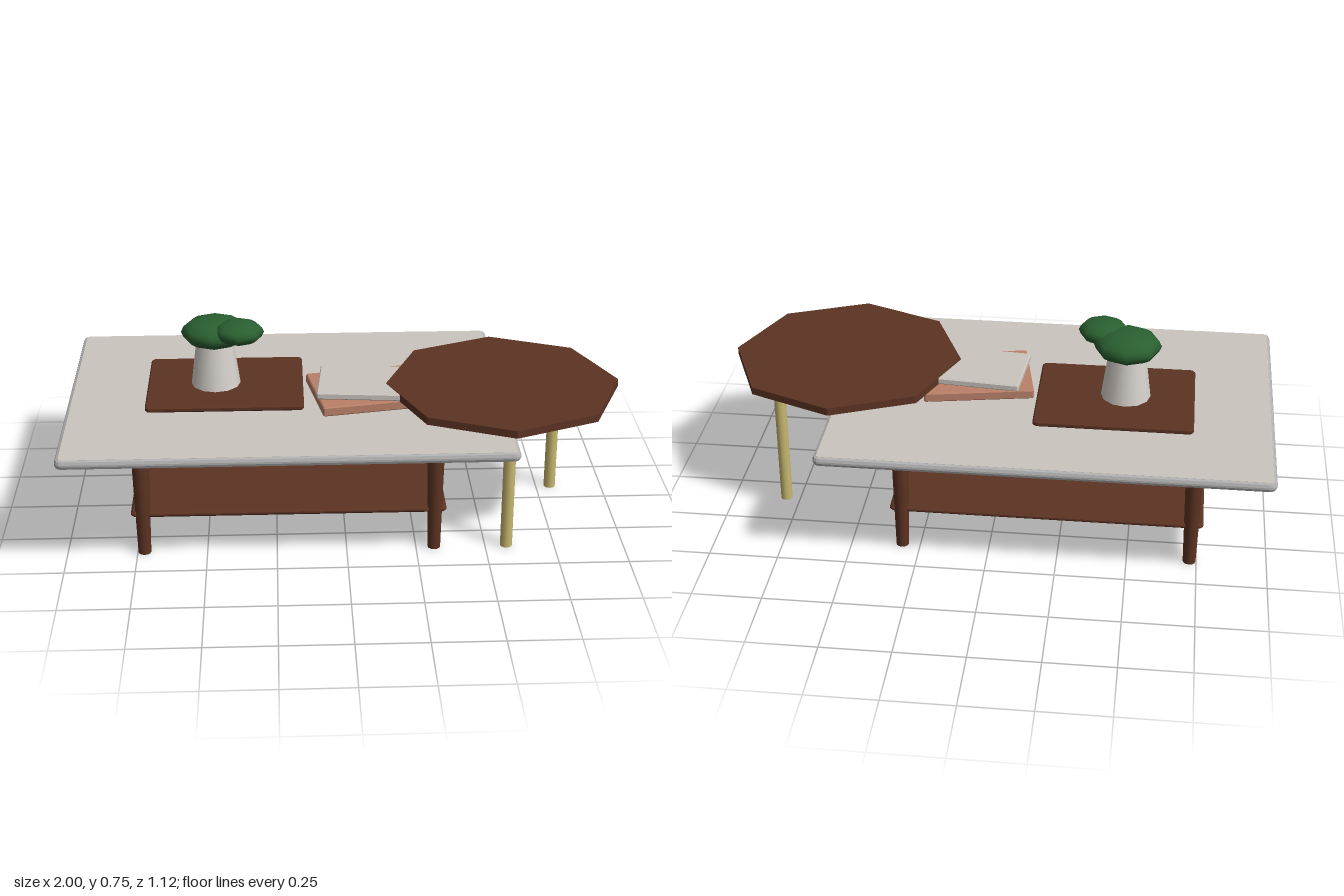
import * as THREE from 'three';

const paint = (name, color) => {
  const m = new THREE.MeshStandardMaterial({ color });
  m.name = name;
  return m;
};

export function createModel() {
  const group = new THREE.Group();
  const wood = paint('walnut', 0x5c3322);
  const stone = paint('warm stone', 0xcac5be);
  const rim = paint('grey rim', 0xb0b0b0);
  const brass = paint('brass', 0xc8b870);
  const ceramic = paint('ceramic', 0xd6d1cb);
  const leaf = paint('leaf green', 0x2a5f30);
  const clay = paint('clay cover', 0xba8069);

  const add = (name, geometry, material, x, y, z, turn = 0) => {
    const mesh = new THREE.Mesh(geometry, material);
    mesh.name = name;
    mesh.position.set(x, y, z);
    mesh.rotation.y = turn;
    group.add(mesh);
    return mesh;
  };

  // Rounded, bevelled board of outer size w x h x d standing on y = 0
  const board = (w, h, d, radius, bevel, segments = 1) => {
    const a = w / 2 - bevel, b = d / 2 - bevel, r = radius;
    const s = new THREE.Shape();
    s.moveTo(-a + r, -b);
    s.lineTo(a - r, -b);
    s.quadraticCurveTo(a, -b, a, -b + r);
    s.lineTo(a, b - r);
    s.quadraticCurveTo(a, b, a - r, b);
    s.lineTo(-a + r, b);
    s.quadraticCurveTo(-a, b, -a, b - r);
    s.lineTo(-a, -b + r);
    s.quadraticCurveTo(-a, -b, -a + r, -b);
    return new THREE.ExtrudeGeometry(s, {
      depth: h - 2 * bevel, bevelEnabled: true, bevelThickness: bevel,
      bevelSize: bevel, bevelSegments: segments, curveSegments: 4,
    }).rotateX(-Math.PI / 2).translate(0, bevel, 0);
  };

  // Main table: slab with a pale surface and a brass underlay
  const cx = -0.205;
  add('tabletopRim', board(1.59, 0.035, 1.12, 0.015, 0.014, 2), rim, cx, 0.43, 0);
  add('tabletopSurface', board(1.565, 0.003, 1.095, 0.012, 0.001), stone, cx, 0.463, 0);
  add('tabletopUnderlay', board(1.5, 0.017, 1.03, 0.01, 0.004), brass, cx, 0.415, 0);

  // Tapered legs and lower shelf
  const legShape = new THREE.CylinderGeometry(0.032, 0.023, 0.42, 12);
  for (const sx of [-1, 1]) {
    for (const sz of [-1, 1]) {
      add('tableLeg', legShape, wood, cx + sx * 0.52, 0.21, sz * 0.36);
    }
  }
  add('shelf', board(1.125, 0.022, 0.75, 0.012, 0.008), wood, cx, 0.145, 0);

  // Octagonal side table on three straight legs
  const octagon = new THREE.CylinderGeometry(0.423, 0.423, 0.028, 8).toNonIndexed();
  octagon.computeVertexNormals();
  add('sideTableTop', octagon, wood, 0.577, 0.516, 0.095);
  const post = new THREE.CylinderGeometry(0.022, 0.022, 0.503, 12);
  for (const [x, z] of [[0.577, 0.36], [0.353, -0.098], [0.803, -0.098]]) {
    add('sideTableLeg', post, brass, x, 0.2515, z);
  }

  // Tray
  add('tray', board(0.57, 0.02, 0.45, 0.015, 0.005), wood, -0.43, 0.467, -0.04);

  // Vase and foliage
  add('vase', new THREE.CylinderGeometry(0.068, 0.09, 0.165, 12), ceramic, -0.465, 0.5685, -0.033);
  const foliage = new THREE.SphereGeometry(1, 8, 8);
  add('largeFoliage', foliage, leaf, -0.465, 0.69, -0.033).scale.set(0.122, 0.054, 0.118);
  add('smallFoliage', foliage, leaf, -0.375, 0.712, 0.03).scale.set(0.09, 0.042, 0.086);

  // Two stacked books, turned against each other
  add('lowerBook', board(0.4, 0.035, 0.315, 0.004, 0.004), clay, 0.091, 0.468, 0.054, 0.18);
  add('upperBook', board(0.34, 0.025, 0.257, 0.004, 0.004), stone, 0.08, 0.503, 0.058, -0.09);

  return group;
}
